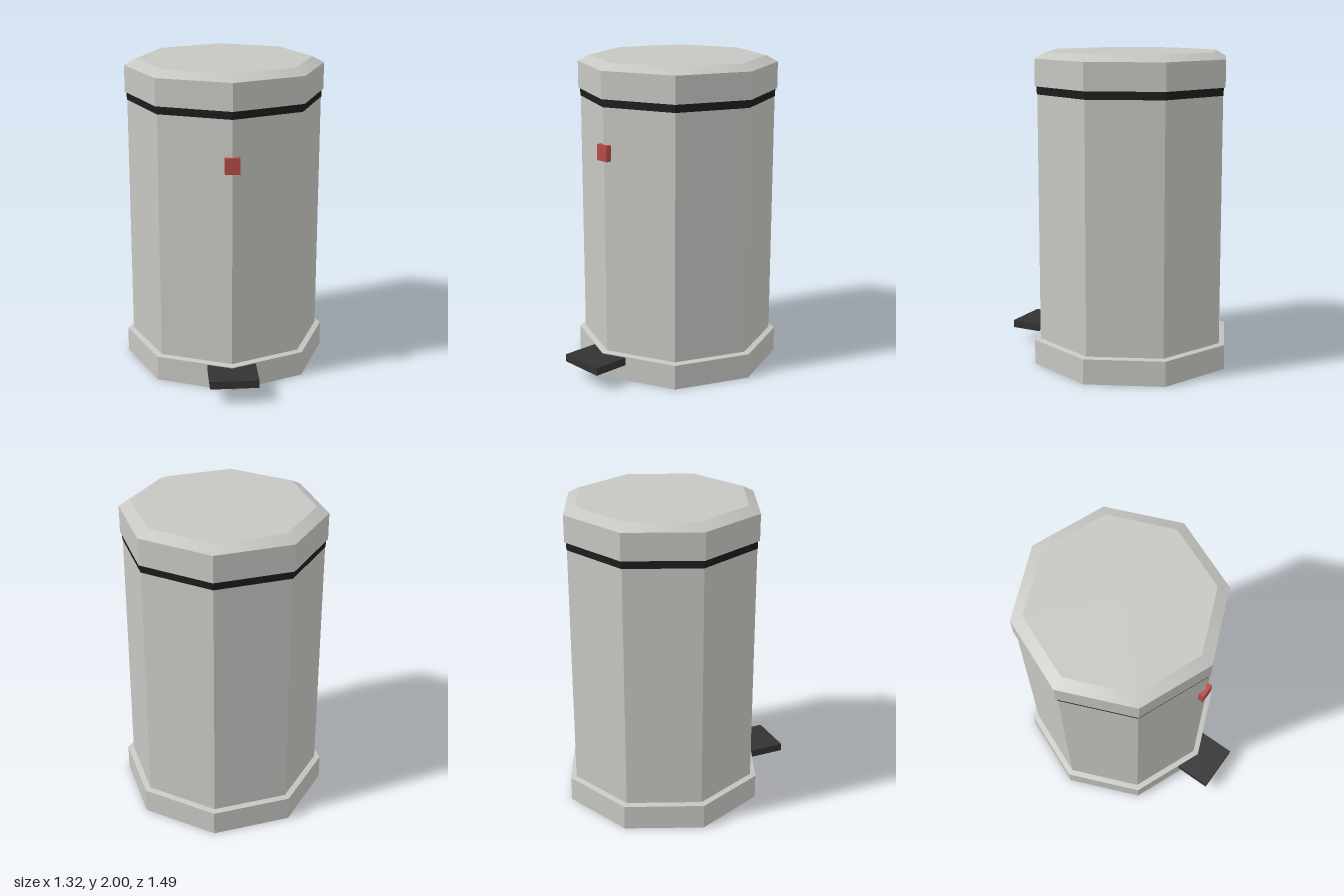
import * as THREE from 'three';
import { toCreasedNormals } from 'three/addons/utils/BufferGeometryUtils.js';

const mat = (name, color, side = THREE.FrontSide) => {
  const m = new THREE.MeshStandardMaterial({ color, side });
  m.name = name;
  return m;
};

export function createModel() {
  const steel = mat('brushed steel', 0xc6c7c2, THREE.DoubleSide);
  const rubber = mat('black rubber', 0x1c1c1c, THREE.DoubleSide);
  const plastic = mat('dark plastic', 0x333333);
  const red = mat('red', 0xb94b46);

  const bin = new THREE.Group();
  bin.name = 'pedalBin';
  const centreZ = -0.0875;

  // Eight-sided shell from a [radius, height] profile, corners facing front and sides
  const shell = (name, profile, material) => {
    const lathe = new THREE.LatheGeometry(profile.map(([r, y]) => new THREE.Vector2(r, y)), 8);
    const mesh = new THREE.Mesh(toCreasedNormals(lathe, 0.4), material);
    mesh.name = name;
    mesh.position.z = centreZ;
    bin.add(mesh);
  };

  // Box given by its centre and size
  const box = (name, size, centre, material) => {
    const mesh = new THREE.Mesh(new THREE.BoxGeometry(...size), material);
    mesh.name = name;
    mesh.position.set(...centre);
    bin.add(mesh);
  };

  // Hollow shells, open at the bottom
  shell('base', [[0.658, 0], [0.658, 0.16], [0.62, 0.167]], steel);
  shell('body', [[0.62, 0.165], [0.62, 1.745]], steel);
  shell('seal', [[0.615, 1.74], [0.623, 1.74], [0.623, 1.79]], rubber);
  shell('lid', [[0.61, 1.79], [0.635, 1.79], [0.635, 1.96]], steel);

  // Chamfer keeps smooth normals around the rim; the top is flat
  const chamfer = new THREE.Mesh(
    new THREE.LatheGeometry([new THREE.Vector2(0.635, 1.96), new THREE.Vector2(0.56, 2)], 8), steel);
  chamfer.name = 'lidChamfer';
  chamfer.position.z = centreZ;
  const top = new THREE.Mesh(new THREE.CircleGeometry(0.56, 8).rotateX(-Math.PI / 2), steel);
  top.name = 'lidTop';
  top.position.set(0, 2, centreZ);
  bin.add(chamfer, top);

  // Foot pedal and front button
  box('pedal', [0.305, 0.05, 0.237], [0, 0.13, 0.6275], plastic);
  box('button', [0.09, 0.1, 0.035], [0, 1.46, 0.5325], red);

  return bin;
}
